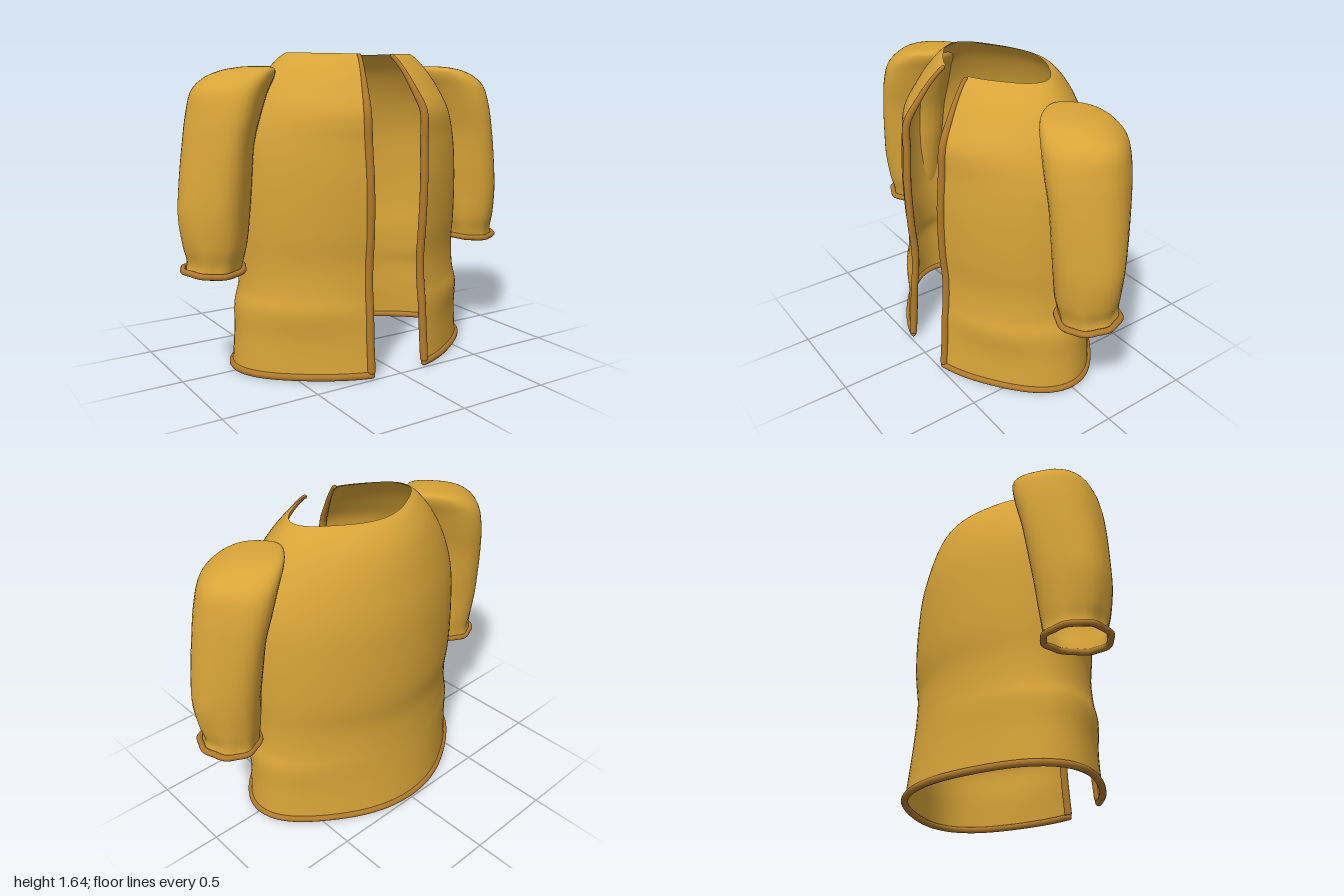
import * as THREE from 'three';

const fabric = new THREE.MeshStandardMaterial({ color: 0xd8a438, side: THREE.DoubleSide });
fabric.name = 'goldFabric';
const trim = new THREE.MeshStandardMaterial({ color: 0xb07a2a, side: THREE.DoubleSide });
trim.name = 'brownTrim';

// Body sections, bottom up: y, half width, front z, back z, half gap of the opening, flattening of the diagonals
const BODY = [
  [0.02, 0.703, 0.5, 0.482, 0.172, 0.07], [0.2, 0.69, 0.483, 0.46, 0.17, 0.06],
  [0.35, 0.685, 0.468, 0.443, 0.167, 0.045], [0.44, 0.662, 0.459, 0.436, 0.165, 0.04],
  [0.58, 0.652, 0.455, 0.432, 0.162, 0.035], [0.75, 0.657, 0.468, 0.45, 0.162, 0.03],
  [1.0, 0.655, 0.475, 0.45, 0.167, 0.03], [1.2, 0.638, 0.465, 0.435, 0.172, 0.03],
  [1.35, 0.595, 0.46, 0.405, 0.174, 0.035], [1.46, 0.54, 0.4, 0.375, 0.152, 0.045],
  [1.55, 0.48, 0.34, 0.335, 0.13, 0.06], [1.62, 0.415, 0.278, 0.275, 0.108, 0.085],
  [1.64, 0.38, 0.25, 0.232, 0.102, 0.095],
];

// Sleeve sections, bottom up: y, inner x, outer x, front z, back z
const SLEEVE = [
  [0.57, 0.69, 0.965, 0.18, -0.125], [0.62, 0.68, 0.957, 0.187, -0.125],
  [0.7, 0.655, 0.977, 0.21, -0.138], [0.85, 0.635, 0.997, 0.23, -0.16],
  [1.0, 0.62, 0.985, 0.238, -0.18], [1.2, 0.6, 0.955, 0.245, -0.205],
  [1.35, 0.555, 0.928, 0.248, -0.222], [1.46, 0.51, 0.895, 0.235, -0.217],
  [1.52, 0.475, 0.83, 0.205, -0.19], [1.555, 0.465, 0.74, 0.165, -0.15],
  [1.572, 0.475, 0.64, 0.1, -0.09], [1.577, 0.55, 0.55, 0, 0],
];

// Points of one body section, running from the left front edge round the back
function bodySection([y, hx, zf, zb, gap, flat], n = 72) {
  const a0 = Math.asin(gap / hx);
  return Array.from({ length: n + 1 }, (_, j) => {
    const a = a0 + (2 * Math.PI - 2 * a0) * j / n, c = Math.cos(a);
    const diagonal = Math.sin(2 * a) ** 2, k = 1 - flat * diagonal;
    // soft pocket bulges just below the waist at the front
    const bulge = c > 0 ? 0.015 * Math.exp(-(((y - 0.36) / 0.1) ** 2)) * diagonal : 0;
    return new THREE.Vector3(k * hx * Math.sin(a), y, k * c * (c > 0 ? zf : zb) + bulge);
  });
}

// Points of one sleeve section: round and gathered at the cuff, softly diamond-shaped above
function sleeveSection([y, xi, xo, zf, zb], side, n = 40) {
  const upper = THREE.MathUtils.smoothstep(y, 0.6, 0.8);
  return Array.from({ length: n }, (_, j) => {
    const a = 2 * Math.PI * j / n, gather = 0.004 * (1 - upper) * Math.cos(8 * a);
    const k = 1 - 0.09 * upper * Math.sin(2 * a) ** 2;
    return new THREE.Vector3(
      side * (xi + xo) / 2 + (k * (xo - xi) / 2 + gather) * Math.sin(a), y,
      (zf + zb) / 2 + (k * (zf - zb) / 2 + gather) * Math.cos(a));
  });
}

// Smooth skin through stacked sections
function loft(sections, closed, rows = 60) {
  const cols = sections[0].length, pos = [], index = [];
  const curves = sections[0].map((_, j) => new THREE.CatmullRomCurve3(sections.map(s => s[j])));
  for (let i = 0; i <= rows; i++)
    for (const c of curves) pos.push(...c.getPoint(i / rows).toArray());
  for (let i = 0; i < rows; i++)
    for (let j = 0; j < (closed ? cols : cols - 1); j++) {
      const k = (j + 1) % cols;
      const a = i * cols + j, b = i * cols + k, c = a + cols, d = b + cols;
      index.push(a, b, c, b, d, c);
    }
  const g = new THREE.BufferGeometry();
  g.setAttribute('position', new THREE.Float32BufferAttribute(pos, 3));
  g.setIndex(index);
  g.computeVertexNormals();
  return g;
}

function add(parent, name, geometry, material) {
  const m = new THREE.Mesh(geometry, material);
  m.name = name;
  parent.add(m);
  return m;
}

// Round piping along a path; the radius can taper towards the end, open ends are rounded
function piping(parent, name, points, radius, { closed = false, endRadius = radius } = {}) {
  const curve = new THREE.CatmullRomCurve3(points, closed);
  const segments = 100, sides = 10;
  const g = new THREE.TubeGeometry(curve, segments, radius, sides, closed);
  const pos = g.attributes.position, v = new THREE.Vector3();
  for (let i = 0; i <= segments; i++) {
    const centre = curve.getPointAt(i / segments);
    const f = THREE.MathUtils.lerp(1, endRadius / radius, THREE.MathUtils.smoothstep(i / segments, 0.6, 1));
    for (let j = 0; j <= sides; j++) {
      const k = i * (sides + 1) + j;
      v.fromBufferAttribute(pos, k).sub(centre).multiplyScalar(f).add(centre);
      pos.setXYZ(k, v.x, v.y, v.z);
    }
  }
  add(parent, name, g, trim);
  if (closed) return;
  for (const [p, r] of [[points[0], radius], [points[points.length - 1], endRadius]])
    add(parent, name + 'End', new THREE.SphereGeometry(r, 10, 8), trim).position.copy(p);
}

export function createModel() {
  const jacket = new THREE.Group();
  jacket.name = 'jacket';

  // Open-fronted body, its neckline slightly higher at the shoulders
  const sections = BODY.map(r => bodySection(r));
  sections[sections.length - 1].forEach(p => { p.y += 0.02 * Math.abs(p.x) - 0.004; });
  add(jacket, 'body', loft(sections, false, 80), fabric);

  // Hem piping round the bottom edge
  piping(jacket, 'hemPiping', sections[0], 0.018);

  for (const side of [1, -1]) {
    const label = side > 0 ? 'left' : 'right';

    // Front edge piping in an upper and a lower length
    const edge = new THREE.CatmullRomCurve3(
      sections.map(s => s[side > 0 ? 0 : s.length - 1].clone()));
    const part = (t0, t1) => Array.from({ length: 21 }, (_, i) => edge.getPoint(t0 + (t1 - t0) * i / 20));
    piping(jacket, label + 'LowerFrontPiping', part(0.01, 0.385), 0.021);
    piping(jacket, label + 'UpperFrontPiping', part(0.39, 0.95), 0.021, { endRadius: 0.011 });

    // Puffed sleeve with a gathered end
    const sleeve = new THREE.Group();
    sleeve.name = label + 'Sleeve';
    jacket.add(sleeve);
    add(sleeve, label + 'SleeveFabric', loft(SLEEVE.map(r => sleeveSection(r, side)), true), fabric);

    // Cuff ring
    const cuff = sleeveSection([0.575, 0.68, 0.978, 0.19, -0.125], side, 32);
    cuff.forEach((p, i) => { p.y -= 0.006 * Math.cos(i * Math.PI / 8); });
    piping(sleeve, label + 'Cuff', cuff, 0.016, { closed: true });
  }
  return jacket;
}
